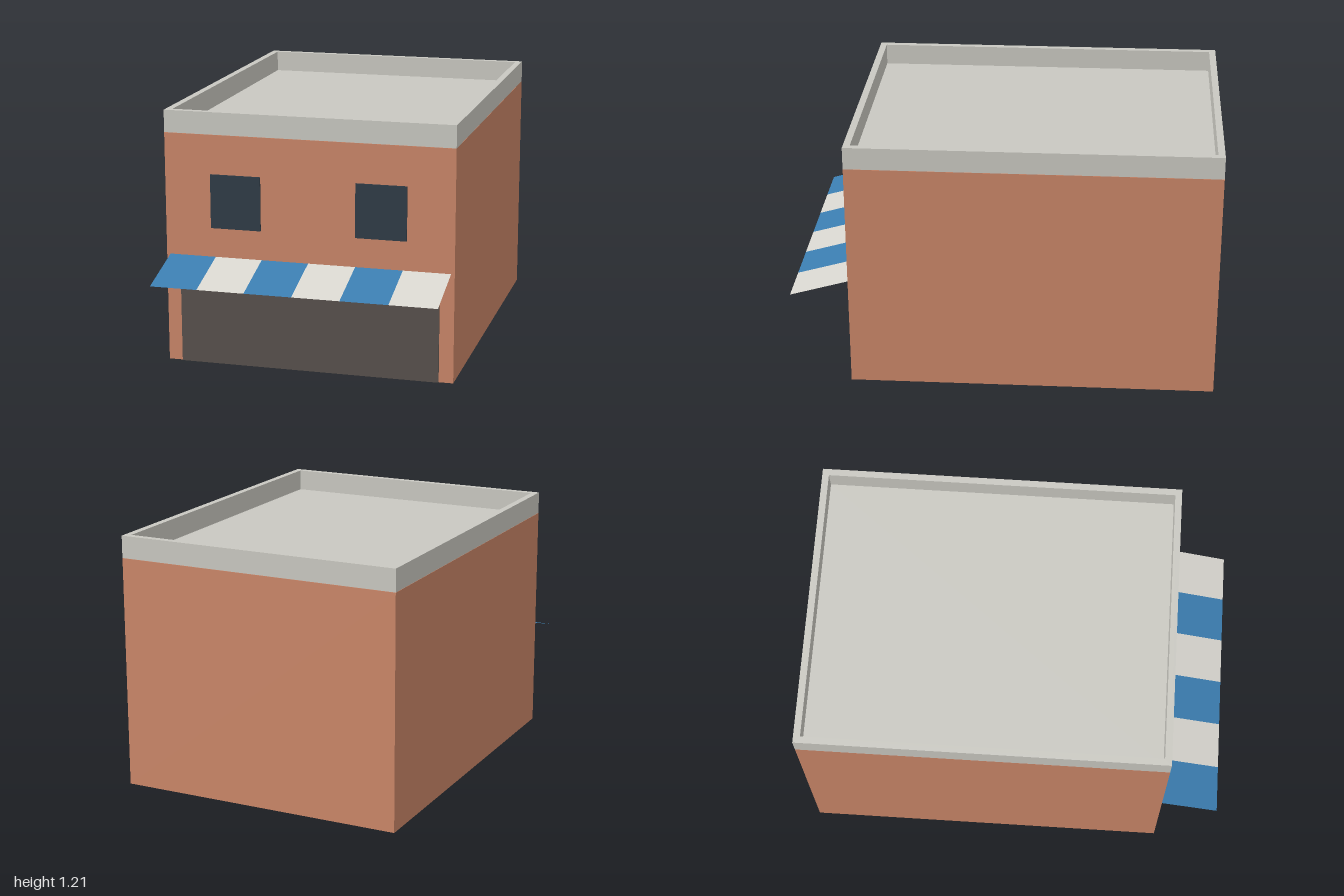
import * as THREE from 'three';

const W = 0.688, BACK = -1, FRONT = 0.722, WALL_H = 1.1, TOP = 1.206;
const DEPTH = FRONT - BACK, MID = (FRONT + BACK) / 2;

function material(name, color, side = THREE.FrontSide) {
  const m = new THREE.MeshStandardMaterial({ color, side });
  m.name = name;
  return m;
}

export function createModel() {
  const group = new THREE.Group();
  group.name = 'shop';
  const brick = material('terracotta wall', 0xca8668, THREE.DoubleSide);
  const stone = material('pale stone', 0xc9c8c1);
  const glass = material('dark glass', 0x2d3a45);
  const shutter = material('dark shutter', 0x57504c);
  const blue = material('awning blue', 0x3b7db0, THREE.DoubleSide);
  const cream = material('awning cream', 0xd8d6cf, THREE.DoubleSide);

  function add(name, geometry, mat, x = 0, y = 0, z = 0) {
    const mesh = new THREE.Mesh(geometry, mat);
    mesh.name = name;
    mesh.position.set(x, y, z);
    group.add(mesh);
    return mesh;
  }

  // Wall shell: a box with its bottom face left out, hollow inside
  const shell = new THREE.BoxGeometry(2 * W, WALL_H, DEPTH);
  const index = Array.from(shell.index.array);
  index.splice(18, 6);
  shell.setIndex(index);
  shell.clearGroups();
  add('walls', shell, brick, 0, WALL_H / 2, MID);

  // Parapet ring around the flat roof
  const rect = (T, w, d) => new T([
    new THREE.Vector2(-w, -d), new THREE.Vector2(w, -d),
    new THREE.Vector2(w, d), new THREE.Vector2(-w, d),
  ]);
  const rim = 0.032, base = WALL_H + 0.001;
  const ring = rect(THREE.Shape, W, DEPTH / 2);
  ring.holes.push(rect(THREE.Path, W - rim, DEPTH / 2 - rim));
  const parapet = new THREE.ExtrudeGeometry(ring, { depth: TOP - base, bevelEnabled: false });
  parapet.rotateX(-Math.PI / 2);
  add('parapet', parapet, stone, 0, base, MID);

  // Roof deck inside the parapet
  const deck = new THREE.PlaneGeometry(2 * (W - rim), DEPTH - 2 * rim).rotateX(-Math.PI / 2);
  add('roofDeck', deck, stone, 0, WALL_H + 0.004, MID);

  // Shop front shutter and upper windows, thin plates on the front wall
  const thin = 0.008;
  add('shopFront', new THREE.BoxGeometry(1.24, 0.45, thin), shutter, 0, 0.225, FRONT + thin / 2);
  for (const side of [-1, 1]) {
    add(side < 0 ? 'rightWindow' : 'leftWindow', new THREE.BoxGeometry(0.24, 0.255, thin),
      glass, side * 0.346, 0.787, FRONT + thin / 2);
  }

  // Sloping striped awning, one flat sheet per stripe
  const half = 0.671, stripes = 6, stripeW = 2 * half / stripes;
  const drop = 0.08, reach = 1 - FRONT;
  for (let i = 0; i < stripes; i++) {
    const stripe = new THREE.PlaneGeometry(stripeW, Math.hypot(drop, reach));
    stripe.rotateX(-Math.atan2(reach, drop));
    add('awningStripe' + (i + 1), stripe, i % 2 ? cream : blue,
      -half + (i + 0.5) * stripeW, 0.52 - drop / 2, FRONT + reach / 2);
  }

  return group;
}
